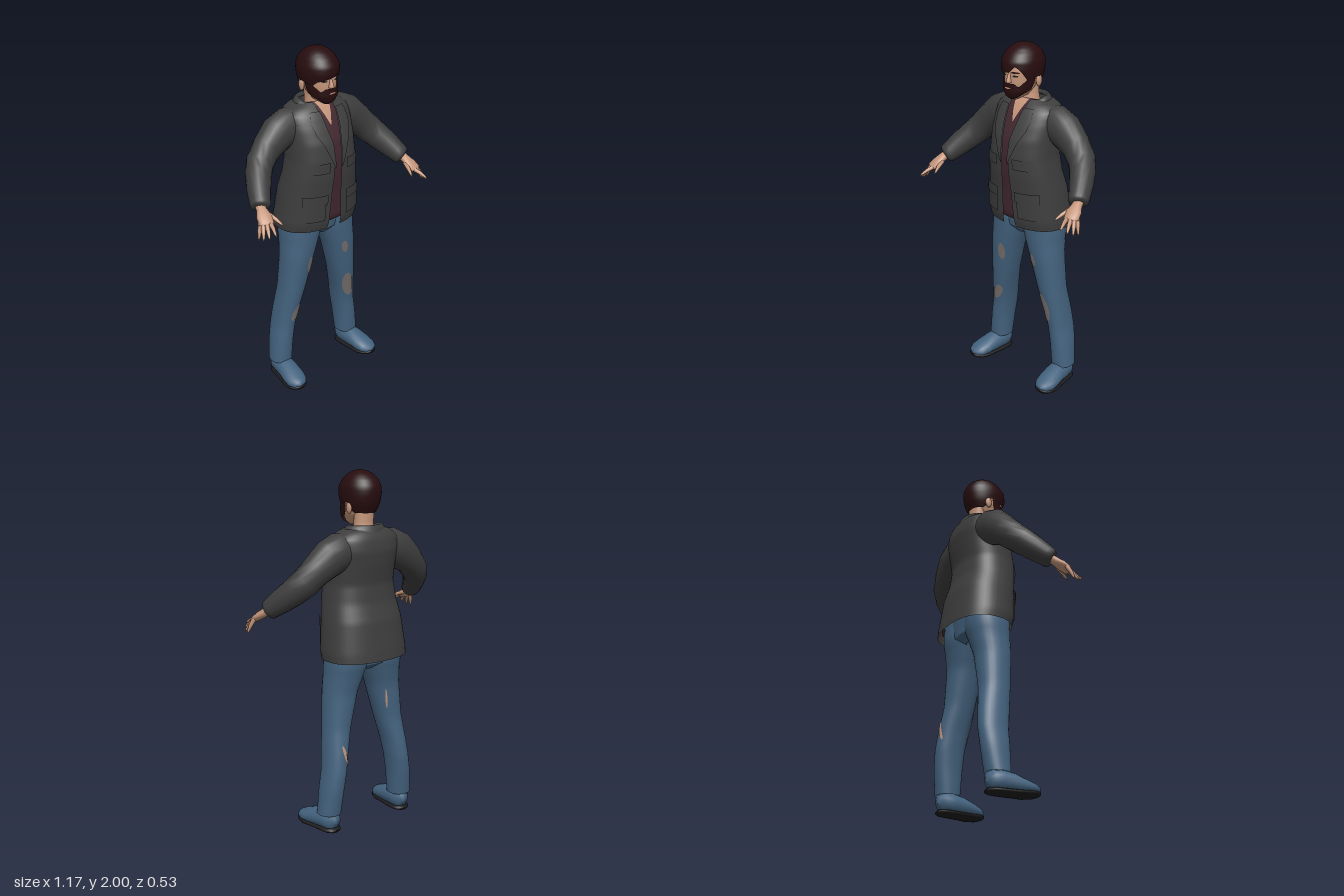
import * as THREE from 'three';
import { mergeVertices } from 'three/addons/utils/BufferGeometryUtils.js';

const mat = (name, color) => new THREE.MeshStandardMaterial({ name, color, side: THREE.DoubleSide });
const RAD = Math.PI / 180;

// Linear lookup in rows whose first column is the key
function sample(rows, k) {
  let i = 0;
  while (i < rows.length - 2 && k > rows[i + 1][0]) i++;
  const a = rows[i], b = rows[i + 1];
  const t = THREE.MathUtils.clamp((k - a[0]) / (b[0] - a[0]), 0, 1);
  return a.slice(1).map((v, j) => v + (b[j + 1] - v) * t);
}

// Smooth surface from a rule f(u, v), u to the right and v upwards
function grid(nu, nv, f) {
  const pos = [], idx = [];
  for (let j = 0; j <= nv; j++) for (let i = 0; i <= nu; i++) pos.push(...f(i / nu, j / nv));
  for (let j = 0; j < nv; j++) for (let i = 0; i < nu; i++) {
    const a = j * (nu + 1) + i, d = a + nu + 1;
    idx.push(a, a + 1, d + 1, a, d + 1, d);
  }
  let g = new THREE.BufferGeometry();
  g.setAttribute('position', new THREE.Float32BufferAttribute(pos, 3));
  g.setIndex(idx);
  g = mergeVertices(g, 1e-5);
  g.computeVertexNormals();
  return g;
}

// Body tables hold [y, centre x, half width, front z, back z]
function around(table, y, a, n = 2, off = 0) {
  const [xc, rx, zf, zb] = sample(table, y), s = Math.sin(a), c = Math.cos(a);
  const pw = (v) => Math.sign(v) * Math.abs(v) ** (2 / n);
  return [xc + (rx + off) * pw(s), y, (zf + zb) / 2 + ((zf - zb) / 2 + off) * pw(c)];
}
const body = (table, n, seg = 32, steps = 32) => grid(seg, steps, (u, v) =>
  around(table, THREE.MathUtils.lerp(table[0][0], table.at(-1)[0], v), u * Math.PI * 2, n));

// Thin sheet lying on the front (dir 1) or back (dir -1) of a body; rows are [y, x from, x to]
function sheet(table, n, rows, off, dir = 1) {
  return grid(8, 14, (u, v) => {
    const y = THREE.MathUtils.lerp(rows[0][0], rows.at(-1)[0], v);
    const [x0, x1] = sample(rows, y);
    const x = dir > 0 ? x0 + (x1 - x0) * u : x1 + (x0 - x1) * u;
    const [xc, rx, zf, zb] = sample(table, y);
    const q = Math.min(1, Math.abs(x - xc) / rx);
    return [x, y, (zf + zb) / 2 + dir * ((zf - zb) / 2 * (1 - q ** n) ** (1 / n) + off)];
  });
}
// Rows of a leaning ellipse
const oval = (x, y, w, h, lean = 0) => [...Array(11)].map((_, i) => {
  const s = -Math.cos(i * Math.PI / 10), c = Math.sqrt(Math.max(0, 1 - s * s));
  return [y + s * h, x + lean * s - w * c, x + lean * s + w * c];
});

// Limb along points [x, y, z, half width, half height]
function limb(pts, seg = 16) {
  const P = pts.map((p) => new THREE.Vector3(...p));
  return grid(seg, pts.length - 1, (u, v) => {
    const i = Math.round(v * (pts.length - 1)), a = u * Math.PI * 2;
    const t = P[Math.min(i + 1, P.length - 1)].clone().sub(P[Math.max(i - 1, 0)]).normalize();
    const b = t.clone().cross(new THREE.Vector3(0, 1, 0)).normalize(), n = t.clone().cross(b);
    return P[i].clone().addScaledVector(b, Math.cos(a) * pts[i][3])
      .addScaledVector(n, Math.sin(a) * pts[i][4]).toArray();
  });
}

function mirror(geo) {
  const g = geo.clone().scale(-1, 1, 1), ix = g.index.array;
  for (let i = 0; i < ix.length; i += 3) [ix[i], ix[i + 1]] = [ix[i + 1], ix[i]];
  g.computeVertexNormals();
  return g;
}

const JACKET = [[0.985, 0, 0.25, 0.08, -0.266], [1.03, 0, 0.252, 0.092, -0.262], [1.2, 0, 0.232, 0.103, -0.238],
  [1.3, 0, 0.215, 0.115, -0.207], [1.4, 0, 0.2, 0.118, -0.196], [1.5, 0, 0.2, 0.103, -0.213],
  [1.58, 0, 0.205, 0.07, -0.222], [1.64, 0, 0.2, 0.038, -0.212], [1.675, 0, 0.17, 0.012, -0.195],
  [1.7, 0, 0.1, -0.015, -0.165]];
const SHIRT = JACKET.map(([y, x, rx, zf, zb]) => [y + (y < 1 ? 0.035 : 0), x, rx * 0.9, zf - 0.014, zb + 0.02]);
const GAP = [[0.985, 0.045], [1.1, 0.036], [1.4, 0.02], [1.5, 0.028], [1.6, 0.045], [1.7, 0.06]];
const LEG = [[0.11, 0.256, 0.065, -0.035, -0.17], [0.25, 0.243, 0.063, -0.03, -0.188], [0.35, 0.227, 0.061, -0.026, -0.194],
  [0.45, 0.212, 0.064, -0.012, -0.185], [0.6, 0.184, 0.076, 0.01, -0.163], [0.8, 0.15, 0.096, 0.033, -0.165],
  [0.9, 0.128, 0.111, 0.038, -0.185], [0.96, 0.118, 0.122, 0.04, -0.2], [1.08, 0.115, 0.115, 0.04, -0.2]];
const PELVIS = [[0.915, 0, 0.03, 0.0, -0.14], [0.95, 0, 0.15, 0.03, -0.19], [1.1, 0, 0.22, 0.05, -0.2]];
const SKULL = [[1.7, -0.012, 0.015, 0.04, 0], [1.72, -0.012, 0.045, 0.058, -0.06], [1.76, -0.012, 0.07, 0.068, -0.1],
  [1.8, -0.012, 0.082, 0.07, -0.125], [1.86, -0.012, 0.09, 0.068, -0.142], [1.92, -0.012, 0.082, 0.055, -0.135],
  [1.96, -0.012, 0.05, 0.02, -0.1], [1.975, -0.012, 0.002, -0.03, -0.04]];
const BEARD = [[1.705, -0.012, 0.022, 0.055, -0.01], [1.718, -0.012, 0.052, 0.072, -0.05], [1.75, -0.012, 0.079, 0.08, -0.09],
  [1.79, -0.012, 0.089, 0.079, -0.125], [1.84, -0.012, 0.096, 0.074, -0.14]];
const HAIR = [[1.77, -0.012, 0.078, 0.05, -0.132], [1.82, -0.012, 0.1, 0.075, -0.156], [1.87, -0.013, 0.107, 0.088, -0.166],
  [1.91, -0.013, 0.105, 0.086, -0.165], [1.95, -0.013, 0.088, 0.06, -0.145], [1.975, -0.013, 0.065, 0.03, -0.115],
  [1.99, -0.013, 0.04, 0, -0.085], [2, -0.013, 0.001, -0.039, -0.041]];
// Lower hair edge, and lower and upper beard edge, by angle from the face
const HAIRLINE = [[-180, 1.772], [-112, 1.775], [-95, 1.83], [-78, 1.825], [-66, 1.8], [-45, 1.835], [-15, 1.848],
  [10, 1.86], [27, 1.892], [42, 1.868], [64, 1.8], [78, 1.825], [95, 1.83], [112, 1.775], [180, 1.772]];
const BEARDLINE = [[0, 1.705, 1.795], [22, 1.705, 1.797], [40, 1.71, 1.78], [60, 1.728, 1.81], [72, 1.742, 1.835], [92, 1.76, 1.83]];

export function createModel() {
  const model = new THREE.Group();
  model.name = 'standingMan';
  const gray = mat('jacketGray', 0x3e3e3e), denim = mat('denimBlue', 0x44637f), skin = mat('skin', 0xc4957a);
  const hairMat = mat('darkBrownHair', 0x280d0f), maroon = mat('shirtMaroon', 0x42282f);
  const worn = mat('wornDenim', 0x77716d), soleMat = mat('soleBlack', 0x1c1c1e);
  const add = (name, geo, m) => {
    const mesh = new THREE.Mesh(geo, m);
    mesh.name = name;
    model.add(mesh);
  };
  const pair = (name, geo, m) => { add(name + 'Left', geo, m); add(name + 'Right', mirror(geo), m); };

  // Jacket, open down the front over the shirt
  add('jacket', grid(48, 40, (u, v) => {
    const y = 0.985 + v * 0.715, n = 2.4;
    const g = Math.asin((sample(GAP, y)[0] / sample(JACKET, y)[1]) ** (n / 2));
    return around(JACKET, y, g + u * (Math.PI * 2 - 2 * g), n);
  }), gray);
  add('shirt', body(SHIRT, 2.4), maroon);
  add('openNeckSkin', sheet(SHIRT, 2.4, [[1.585, -0.002, 0.002], [1.7, -0.045, 0.045]], 0.004), skin);
  pair('lapel', sheet(JACKET, 2.4, [[1.36, 0.02, 0.025], [1.5, 0.027, 0.085], [1.575, 0.042, 0.125],
    [1.585, 0.044, 0.1], [1.6, 0.046, 0.125], [1.665, 0.055, 0.115]], 0.009), gray);
  pair('chestPocketFlap', sheet(JACKET, 2.4, [[1.34, 0.06, 0.15], [1.4, 0.055, 0.165]], 0.008), gray);
  pair('hipPocket', sheet(JACKET, 2.4, [[1.05, 0.075, 0.2], [1.2, 0.07, 0.195]], 0.008), gray);
  pair('hipPocketFlap', sheet(JACKET, 2.4, [[1.15, 0.065, 0.2], [1.21, 0.065, 0.198]], 0.014), gray);

  // Turned-down collar
  const fold = [[0, 0.07, 0.062, 1.665], [0.35, 0.088, 0.074, 1.712], [0.5, 0.104, 0.085, 1.714], [0.65, 0.118, 0.095, 1.702], [1, 0.14, 0.112, 1.655]];
  add('collar', grid(32, 10, (u, v) => {
    const a = (28 + u * 304) * RAD, [rx, rz, y] = sample(fold, 1 - v);
    return [rx * Math.sin(a), y - 0.03 * Math.max(0, Math.cos(a)), -0.088 + rz * Math.cos(a)];
  }), gray);

  // Sleeves bent forward at the elbow
  pair('sleeve', limb([[0.13, 1.575, -0.095, 0.085, 0.1], [0.18, 1.575, -0.095, 0.088, 0.106], [0.24, 1.55, -0.097, 0.087, 0.103],
    [0.32, 1.49, -0.09, 0.077, 0.086], [0.38, 1.43, -0.072, 0.075, 0.08], [0.42, 1.385, -0.035, 0.071, 0.075],
    [0.46, 1.335, 0.02, 0.064, 0.068], [0.49, 1.293, 0.068, 0.057, 0.058], [0.5, 1.278, 0.088, 0.055, 0.054],
    [0.505, 1.272, 0.096, 0.043, 0.042], [0.506, 1.271, 0.097, 0.001, 0.001]], 20), gray);

  // Hands with spread fingers
  pair('palm', limb([[0.5, 1.28, 0.08, 0.028, 0.024], [0.51, 1.262, 0.11, 0.028, 0.024], [0.52, 1.24, 0.145, 0.042, 0.022],
    [0.532, 1.215, 0.18, 0.04, 0.018], [0.537, 1.207, 0.19, 0.001, 0.001]], 12), skin);
  const fingers = { thumb: [0.49, 1.245, 0.135, 0.46, 1.2, 0.225], index: [0.508, 1.222, 0.175, 0.538, 1.18, 0.268],
    middle: [0.53, 1.217, 0.178, 0.56, 1.16, 0.24], ring: [0.545, 1.218, 0.168, 0.577, 1.145, 0.212],
    little: [0.553, 1.225, 0.155, 0.585, 1.14, 0.18] };
  for (const [name, [x, y, z, X, Y, Z]] of Object.entries(fingers)) {
    pair(name + 'Finger', limb([[0, 0.013], [0.5, 0.011], [0.85, 0.007], [1, 0.001]].map(([t, r]) =>
      [x + (X - x) * t, y + (Y - y) * t + 0.02 * t * (1 - t), z + (Z - z) * t, r, r]), 8), skin);
  }

  // Jeans with worn patches and small rips
  add('jeansSeat', body(PELVIS, 2.3), denim);
  pair('jeansLeg', body(LEG, 2.2, 28), denim);
  const onLeg = (o, off, dir) => sheet(LEG, 2.2, o, off, dir);
  add('thighPatchLeft', onLeg(oval(0.13, 0.785, 0.02, 0.042, -0.008), 0.004), worn);
  add('kneePatchLeft', onLeg(oval(0.19, 0.49, 0.033, 0.092, -0.018), 0.004), worn);
  add('thighPatchRight', mirror(onLeg(oval(0.125, 0.755, 0.021, 0.058, -0.004), 0.004)), worn);
  add('kneePatchRight', mirror(onLeg(oval(0.2, 0.445, 0.028, 0.055, -0.02), 0.004)), worn);
  add('kneeRipLeft', onLeg(oval(0.2, 0.46, 0.01, 0.06, 0.015), 0.004, -1), skin);
  add('thighRipRight', mirror(onLeg(oval(0.115, 0.72, 0.005, 0.06, -0.008), 0.004, -1)), skin);

  // Shoes, toes turned slightly out
  pair('shoe', limb([[0.25, 0.06, -0.163, 0.001, 0.001], [0.25, 0.064, -0.155, 0.035, 0.045], [0.252, 0.068, -0.13, 0.053, 0.058],
    [0.256, 0.07, -0.08, 0.058, 0.06], [0.262, 0.065, -0.02, 0.061, 0.056], [0.27, 0.053, 0.04, 0.066, 0.044],
    [0.277, 0.045, 0.085, 0.06, 0.036], [0.28, 0.04, 0.115, 0.04, 0.026], [0.281, 0.038, 0.126, 0.001, 0.001]], 18), denim);
  pair('shoeSole', limb([[0.25, 0.017, -0.166, 0.001, 0.001], [0.25, 0.017, -0.158, 0.036, 0.014], [0.252, 0.017, -0.13, 0.055, 0.017],
    [0.256, 0.017, -0.08, 0.059, 0.017], [0.264, 0.018, -0.01, 0.062, 0.017], [0.272, 0.019, 0.05, 0.068, 0.018],
    [0.278, 0.023, 0.095, 0.057, 0.018], [0.281, 0.028, 0.12, 0.036, 0.014], [0.282, 0.03, 0.13, 0.001, 0.001]], 18), soleMat);

  // Neck, head, nose and ears
  add('neck', body([[1.62, 0, 0.062, -0.015, -0.14], [1.72, -0.006, 0.056, -0.03, -0.128], [1.8, -0.012, 0.058, -0.03, -0.13]], 2), skin);
  add('head', body(SKULL, 2.2, 32, 40), skin);
  add('nose', body([[1.793, -0.012, 0.004, 0.078, 0.05], [1.8, -0.012, 0.017, 0.09, 0.05], [1.815, -0.012, 0.012, 0.087, 0.05],
    [1.855, -0.012, 0.007, 0.07, 0.05]], 2, 12, 10), skin);
  for (const [name, x] of [['earLeft', 0.08], ['earRight', -0.104]]) {
    add(name, new THREE.SphereGeometry(1, 12, 8).scale(0.012, 0.034, 0.02).translate(x, 1.802, -0.062), skin);
  }

  // Swept hair, beard, brows and eyes
  add('hair', grid(72, 20, (u, v) => {
    const deg = u * 360 - 180, low = sample(HAIRLINE, deg)[0];
    return around(HAIR, low + (2 - low) * Math.sin(v * Math.PI / 2), deg * RAD, 2.1);
  }), hairMat);
  add('beard', grid(40, 12, (u, v) => {
    const deg = -92 + u * 184, [low, high] = sample(BEARDLINE, Math.abs(deg));
    return around(BEARD, low + (high - low) * v, deg * RAD, 2.2);
  }), hairMat);
  add('mouth', sheet(BEARD, 2.2, oval(-0.012, 1.77, 0.02, 0.004), 0.003), skin);
  for (const [name, x] of [['Left', 0.027], ['Right', -0.051]]) {
    add('eye' + name, sheet(SKULL, 2.2, oval(x, 1.836, 0.015, 0.005), 0.003), soleMat);
    add('brow' + name, sheet(SKULL, 2.2, oval(x, 1.855, 0.022, 0.005), 0.005), hairMat);
  }
  return model;
}
